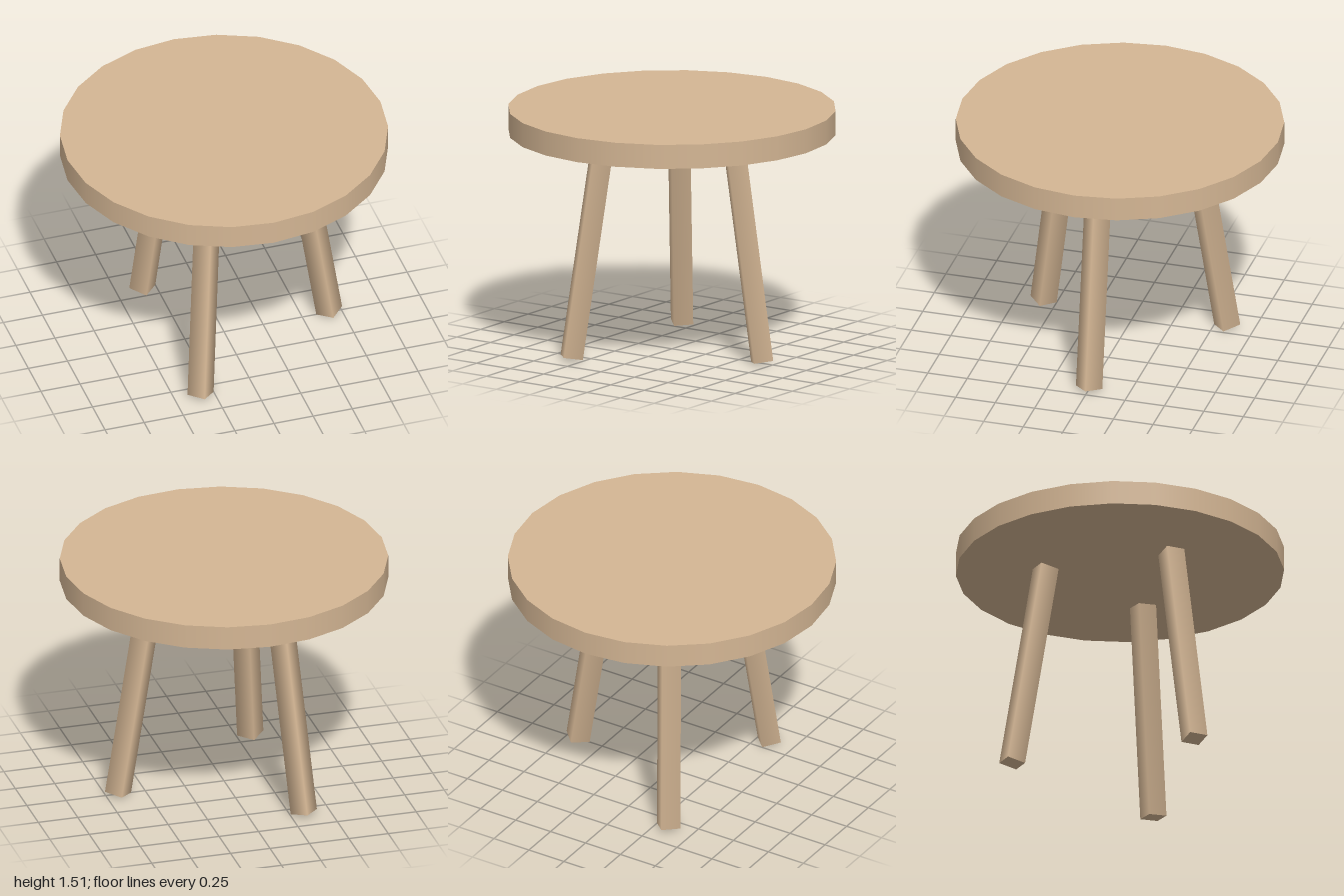
import * as THREE from 'three';

export function createModel() {
  const group = new THREE.Group();
  group.name = 'stool';
  const wood = new THREE.MeshStandardMaterial({ color: 0xd4b694 });

  // Round seat
  const seat = new THREE.Mesh(new THREE.CylinderGeometry(1, 1, 0.15, 24), wood);
  seat.name = 'seat';
  seat.position.y = 1.433;
  group.add(seat);

  // Three splayed four-sided legs
  const up = new THREE.Vector3(0, 1, 0);
  const names = ['leftLeg', 'backRightLeg', 'frontRightLeg'];
  names.forEach((name, i) => {
    const angle = (i * Math.PI * 2) / 3;
    const at = (r, y) => new THREE.Vector3(r * Math.cos(angle), y, -r * Math.sin(angle));
    const top = at(0.463, 1.336);
    const foot = at(0.672, 0.013);
    const axis = top.clone().sub(foot);
    const leg = new THREE.Mesh(new THREE.CylinderGeometry(0.0835, 0.0835, axis.length(), 4), wood);
    leg.name = name;
    leg.position.copy(top).add(foot).multiplyScalar(0.5);
    leg.quaternion.setFromUnitVectors(up, axis.normalize());
    group.add(leg);
  });
  return group;
}
